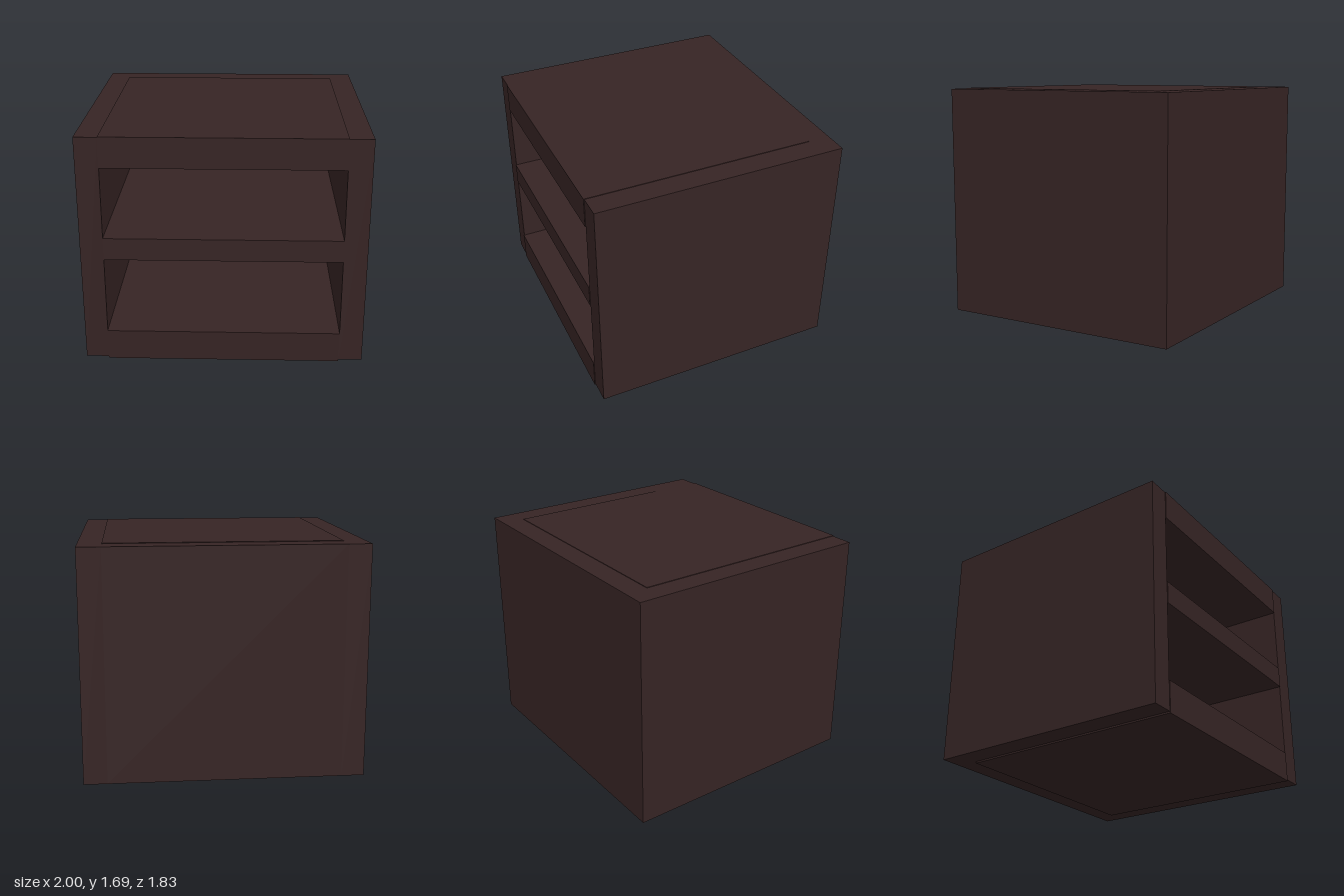
import * as THREE from 'three';

export function createModel() {
  const group = new THREE.Group();
  group.name = 'openCabinet';
  const darkWood = new THREE.MeshStandardMaterial({ color: 0x362424 });
  darkWood.name = 'darkWood';

  // A board given by its lower and upper limits on each axis
  const board = (name, [x0, x1], [y0, y1], [z0, z1]) => {
    const mesh = new THREE.Mesh(new THREE.BoxGeometry(x1 - x0, y1 - y0, z1 - z0), darkWood);
    mesh.name = name;
    mesh.position.set((x0 + x1) / 2, (y0 + y1) / 2, (z0 + z1) / 2);
    group.add(mesh);
  };

  const panelHeight = [0.012, 1.682];
  const inner = [-0.837, 0.832];

  // Side walls and back wall
  board('rightSide', [-1, inner[0]], panelHeight, [-0.915, 0.91]);
  board('leftSide', [inner[1], 1], panelHeight, [-0.915, 0.91]);
  board('backPanel', inner, panelHeight, [-0.915, -0.752]);

  // Thick horizontal boards, standing slightly proud of the walls
  const shelves = {
    bottomBoard: [0, 0.226],
    middleShelf: [0.79, 0.952],
    topBoard: [1.466, 1.686],
  };
  for (const [name, height] of Object.entries(shelves)) {
    board(name, inner, height, [-0.752, 0.915]);
  }

  return group;
}
